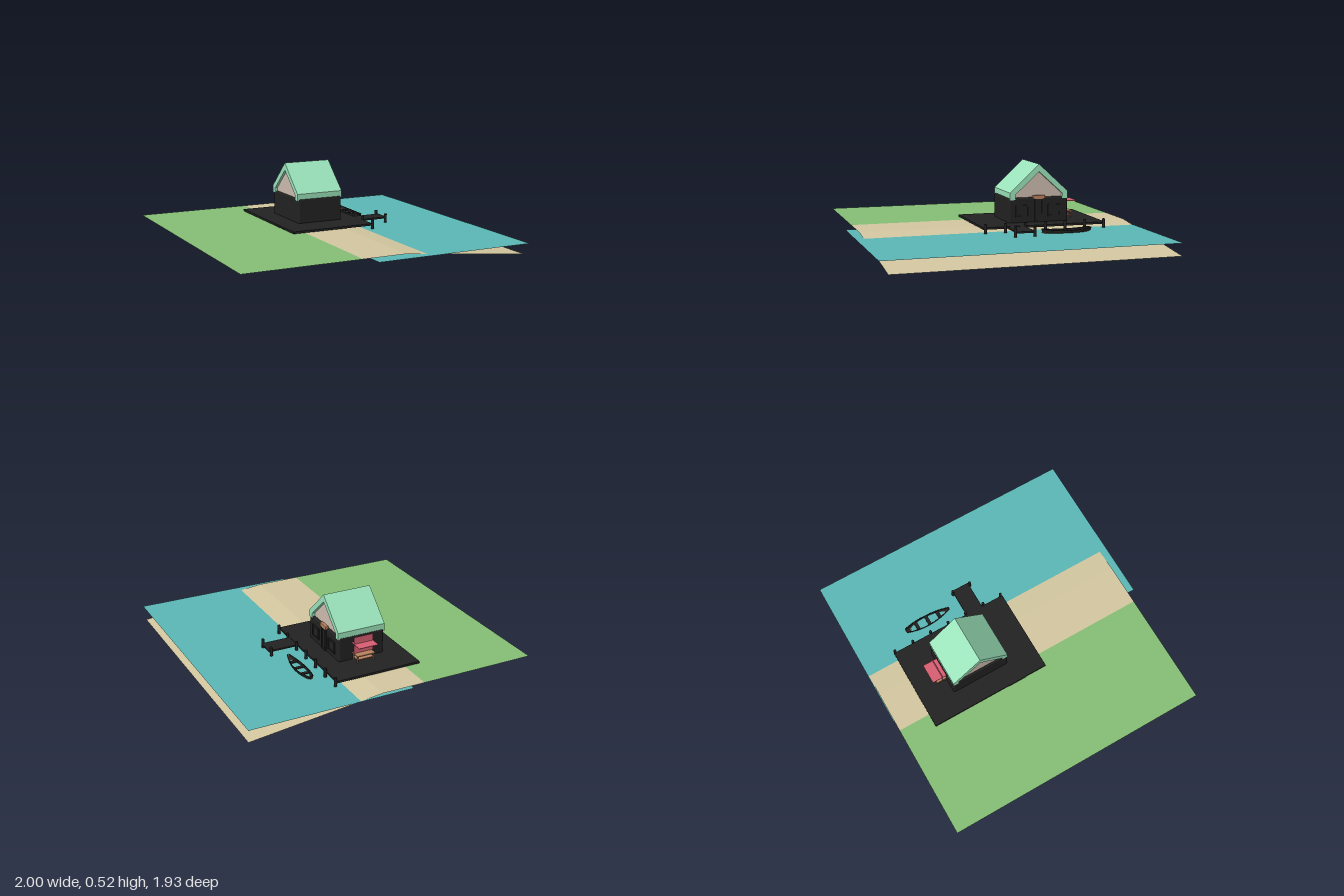
import * as THREE from 'three';
import { RoundedBoxGeometry } from 'three/addons/geometries/RoundedBoxGeometry.js';
import { ParametricGeometry } from 'three/addons/geometries/ParametricGeometry.js';

const paint = (color) => new THREE.MeshStandardMaterial({ color, side: THREE.DoubleSide });
const dark = paint(0x222222);
const grass = paint(0x86bf76);
const sand = paint(0xd3c8a0);
const sea = paint(0x5bb7b5);
const mint = paint(0x9be3bb);
const plaster = paint(0xcdbcae);
const pink = paint(0xd85f72);
const wood = paint(0xb98260);
const keelBrown = paint(0x8a5a50);

export function createModel() {
  const model = new THREE.Group();

  const add = (name, geometry, material, parent = model) => {
    const mesh = new THREE.Mesh(geometry, material);
    mesh.name = name;
    parent.add(mesh);
    return mesh;
  };
  // Box given by its limits on each axis
  const box = (name, [x0, x1], [y0, y1], [z0, z1], material, parent) => {
    const mesh = add(name, new THREE.BoxGeometry(x1 - x0, y1 - y0, z1 - z0), material, parent);
    mesh.position.set((x0 + x1) / 2, (y0 + y1) / 2, (z0 + z1) / 2);
    return mesh;
  };
  // Thin sheet running from (x0, y0) to (x1, y1) across a range of z
  const sheet = (name, [x0, y0], [x1, y1], [z0, z1], material) =>
    add(name, new ParametricGeometry((u, v, p) =>
      p.set(x0 + (x1 - x0) * v, y0 + (y1 - y0) * v, z0 + (z1 - z0) * u), 1, 1), material);
  // Prism with a (z, y) outline, running along x
  const prism = (name, points, hole, [x0, x1], material) => {
    const shape = new THREE.Shape(points.map(([z, y]) => new THREE.Vector2(-z, y)));
    if (hole) shape.holes.push(new THREE.Path(hole.map(([z, y]) => new THREE.Vector2(-z, y))));
    const geometry = new THREE.ExtrudeGeometry(shape, { depth: x1 - x0, bevelEnabled: false });
    geometry.rotateY(Math.PI / 2).translate(x0, 0, 0);
    return add(name, geometry, material);
  };

  // Land, beach sloping under the water, and water
  const land = [-0.963, 0.912];
  sheet('grass', [-1, 0.1], [-0.2, 0.1], land, grass);
  sheet('beach', [-0.2, 0.1], [0.1, 0.1], land, sand);
  sheet('seabed', [0.1, 0.1], [1, 0], land, sand);
  sheet('water', [-0.12, 0.083], [1, 0.083], [-0.968, 0.966], sea);

  // Deck, pier and mooring posts
  box('deck', [-0.3, 0.3], [0.108, 0.122], [-0.737, 0.127], dark);
  box('pier', [-0.303, 0.505], [0.109, 0.12], [-0.162, -0.037], dark);
  const posts = new THREE.Group();
  posts.name = 'posts';
  model.add(posts);
  const post = (x, z) =>
    add('post', new THREE.CylinderGeometry(0.01, 0.01, 0.088, 12), dark, posts).position.set(x, 0.101, z);
  for (let i = 0; i < 7; i++) post(0.306, 0.115 - i * 0.14);
  for (const z of [-0.165, -0.03]) post(0.491, z);

  // House walls
  const walls = add('walls', new RoundedBoxGeometry(0.328, 0.175, 0.422, 3, 0.012), dark);
  walls.position.set(0.008, 0.203, -0.304);

  // Roof shell around a recessed gable block
  const roofInner = [[-0.137, 0.278], [-0.137, 0.313], [-0.305, 0.465], [-0.473, 0.313], [-0.473, 0.278]];
  prism('roof',
    [[-0.098, 0.276], [-0.098, 0.326], [-0.305, 0.516], [-0.512, 0.326], [-0.512, 0.276],
      ...[...roofInner].reverse()],
    null, [-0.163, 0.176], mint);
  prism('gables', roofInner, null, [-0.145, 0.155], plaster);

  // Framed openings on the water side
  const frame = (name, [y0, y1], [z0, z1], t) => {
    const group = new THREE.Group();
    group.name = name;
    model.add(group);
    const x = [0.168, 0.18];
    box('jamb', x, [y0, y1], [z0, z0 + t], dark, group);
    box('jamb', x, [y0, y1], [z1 - t, z1], dark, group);
    box('rail', x, [y1 - t, y1], [z0, z1], dark, group);
    box('rail', x, [y0, y0 + t], [z0, z1], dark, group);
    box('panel', [0.168, 0.174], [y0, y1], [z0, z1], dark, group);
  };
  frame('window', [0.157, 0.24], [-0.235, -0.138], 0.01);
  frame('window', [0.157, 0.24], [-0.463, -0.368], 0.01);
  frame('door', [0.122, 0.28], [-0.336, -0.274], 0.012);
  box('doorSign', [0.16, 0.182], [0.28, 0.303], [-0.345, -0.262], wood);

  // Stall behind the house: canopy sheet, hanging cloth and a table
  box('canopy', [-0.06, 0.08], [0.24, 0.244], [-0.618, -0.51], pink);
  box('cloth', [-0.06, 0.08], [0.178, 0.292], [-0.547, -0.544], pink);
  box('tableTop', [-0.055, 0.075], [0.167, 0.174], [-0.588, -0.512], wood);
  box('tableShelf', [-0.05, 0.07], [0.14, 0.144], [-0.578, -0.516], wood);
  for (const x of [-0.05, 0.064])
    for (const z of [-0.58, -0.524]) box('tableLeg', [x, x + 0.006], [0.12, 0.168], [z, z + 0.006], wood);

  // Rowing boat: open hull lofted along z, with a rim, keel and benches
  const boat = new THREE.Group();
  boat.name = 'boat';
  model.add(boat);
  const boatX = 0.407;
  const halfWidth = (t) => 0.037 * Math.pow(Math.sin(Math.PI * (0.02 + 0.88 * t)), 0.75);
  const rimY = (t) => 0.1 + 0.012 * Math.pow(2 * t - 1, 2);
  const boatZ = (t) => -0.243 - 0.342 * t;
  const hullPoint = (u, t, p) => {
    const angle = Math.PI * u;
    const depth = 0.036 * Math.pow(Math.sin(Math.PI * (0.06 + 0.88 * t)), 0.4);
    return p.set(boatX - halfWidth(t) * Math.cos(angle),
      rimY(t) - depth * Math.pow(Math.max(0, Math.sin(angle)), 0.7), boatZ(t));
  };
  add('hull', new ParametricGeometry(hullPoint, 12, 24), dark, boat);
  const steps = [...Array(17).keys()].map((i) => i / 16);
  const rod = (name, u, radius, material) => add(name, new THREE.TubeGeometry(new THREE.CatmullRomCurve3(
    steps.map((t) => hullPoint(u, t, new THREE.Vector3()))), 32, radius, 6), material, boat);
  rod('rim', 0, 0.003, dark);
  rod('rim', 1, 0.003, dark);
  rod('keel', 0.5, 0.004, keelBrown);
  for (const u of [0.3, 0.7]) rod('strake', u, 0.002, keelBrown);
  for (const t of [0.25, 0.5, 0.75]) {
    const w = halfWidth(t) * 0.97;
    box('bench', [boatX - w, boatX + w], [0.091, 0.097], [boatZ(t) - 0.012, boatZ(t) + 0.012], dark, boat);
  }
  add('transom', new ParametricGeometry((u, v, p) => {
    hullPoint(u, 1, p);
    p.y = p.y * (1 - v) + rimY(1) * v;
  }, 12, 1), dark, boat);

  return model;
}
